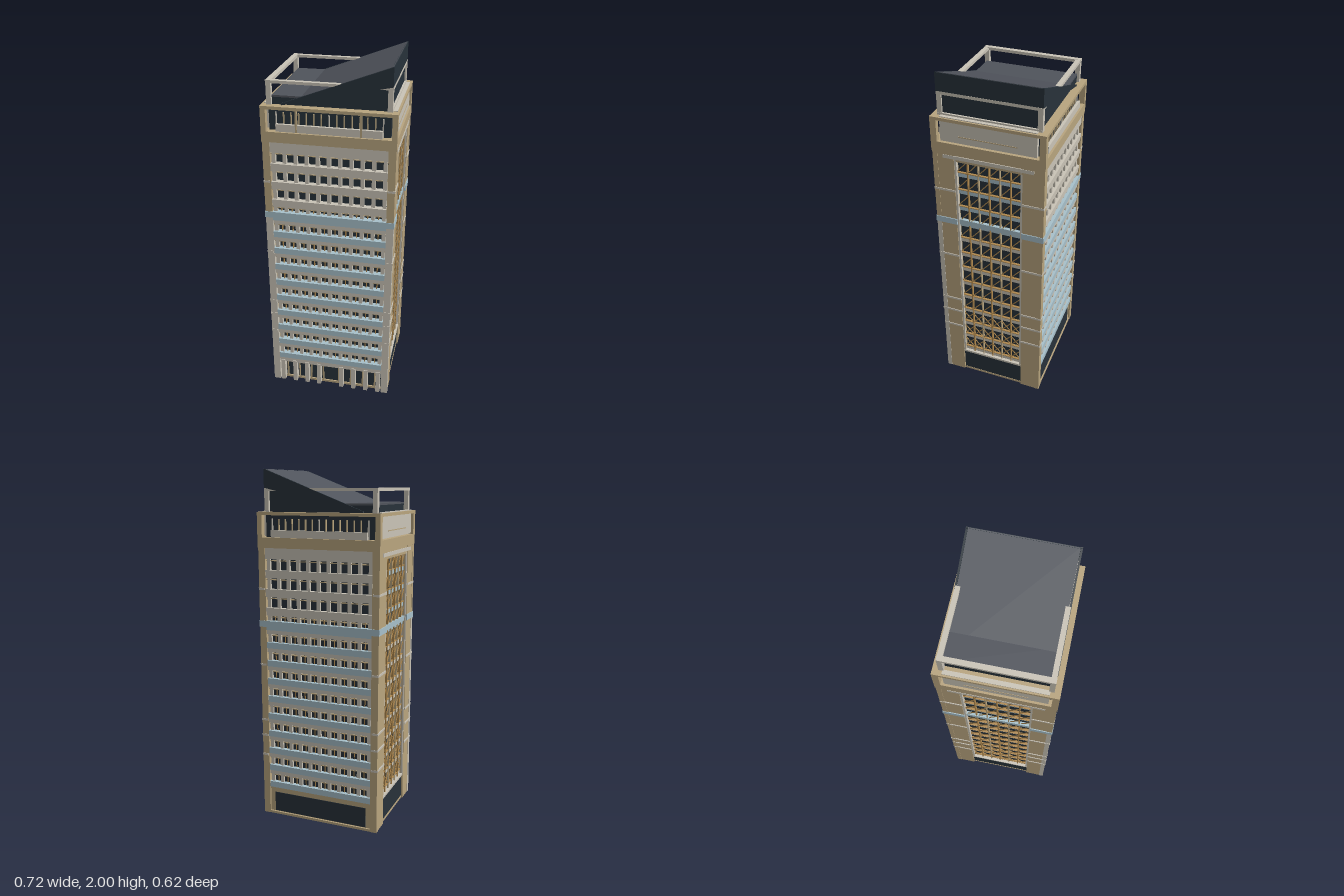
import * as THREE from 'three';

const mat = (name, color) => {
  const m = new THREE.MeshStandardMaterial({ color });
  m.name = name;
  return m;
};

export function createModel() {
  const tan = mat('tan stone', 0xb9a57f);
  const cream = mat('cream stone', 0xcac4b7);
  const dark = mat('dark glass', 0x28323a);
  const grey = mat('grey roof', 0x50545c);
  const blue = mat('pale blue panel', 0xa8c1cb);
  const gold = mat('bronze lattice', 0xb0894f);

  const model = new THREE.Group();
  model.name = 'tower';

  // Box given by its limits along each axis
  const box = (parent, name, m, x0, x1, y0, y1, z0, z1) => {
    const mesh = new THREE.Mesh(new THREE.BoxGeometry(x1 - x0, y1 - y0, z1 - z0), m);
    mesh.position.set((x0 + x1) / 2, (y0 + y1) / 2, (z0 + z1) / 2);
    mesh.name = name;
    parent.add(mesh);
    return mesh;
  };
  const group = (name, turn = 0) => {
    const g = new THREE.Group();
    g.name = name;
    g.rotation.y = turn;
    model.add(g);
    return g;
  };

  const floors = 13, pitch = 0.1055, firstY = 0.168;

  // Core and base
  box(model, 'glassCore', dark, -0.325, 0.325, 0.012, 1.6, -0.28, 0.272);
  box(model, 'basePlate', tan, -0.345, 0.345, 0, 0.014, -0.305, 0.28);

  // Corner piers: tan side walls with cream edges below the blue belt
  const corners = group('cornerPiers');
  for (const sx of [-1, 1]) for (const sz of [-1, 1]) {
    const pier = (name, m, xa, xb, y0, y1, za, zb) => box(corners, name, m,
      Math.min(sx * xa, sx * xb), Math.max(sx * xa, sx * xb), y0, y1,
      Math.min(sz * za, sz * zb), Math.max(sz * za, sz * zb));
    pier('sideWall', tan, 0.315, 0.353, 0, 1.58, 0.188, 0.282);
    pier('cornerLower', sz > 0 ? cream : tan, 0.315, 0.355, 0, 1.135, 0.28, 0.307);
    pier('cornerUpper', tan, 0.315, 0.355, 1.135, 1.58, 0.28, 0.307);
    for (const y of [0.37, 0.49, 0.585, 0.915, 1.35])
      pier('wallLine', cream, 0.32, 0.357, y - 0.006, y + 0.006, 0.188, 0.309);
    pier('beltReturn', blue, 0.315, 0.358, 1.135, 1.17, 0.186, 0.31);
  }

  // Front and back window walls
  for (const [name, turn] of [['frontFacade', 0], ['backFacade', Math.PI]]) {
    const f = group(name, turn);
    for (let i = 0; i < floors; i++) {
      const y = firstY + i * pitch;
      const upper = i > 9;
      const sill = y + (upper ? 0.022 : 0.035);
      const head = y + 0.083;
      box(f, 'sillPanel', upper ? cream : blue, -0.316, 0.316, y, sill, 0.265, 0.306);
      box(f, 'headBand', cream, -0.316, 0.316, head, y + pitch, 0.265, 0.303);
      for (let k = 0; k <= 10; k++) {
        const x = -0.3 + k * 0.06;
        box(f, 'windowPier', cream, x - 0.010, x + 0.010, sill, head, 0.265, 0.294);
        if (k < 10 && !upper)
          box(f, 'windowMullion', gold, x + 0.028, x + 0.032, sill, head, 0.265, 0.285);
      }
      box(f, 'windowRail', tan, -0.316, 0.316, head - 0.012, head - 0.007, 0.265, 0.291);
    }
    box(f, 'topBand', cream, -0.316, 0.316, 1.535, 1.58, 0.265, 0.304);
    box(f, 'belt', blue, -0.32, 0.32, 1.135, 1.17, 0.27, 0.31);
  }

  // Entrance colonnade
  const entrance = group('entrance');
  box(entrance, 'lintel', cream, -0.316, 0.316, 0.138, 0.168, 0.26, 0.303);
  box(entrance, 'doorHead', tan, -0.316, 0.316, 0.118, 0.126, 0.26, 0.28);
  for (const x of [0.07, 0.145, 0.22, 0.295]) for (const s of [-1, 1]) {
    box(entrance, 'column', cream, s * x - 0.012, s * x + 0.012, 0, 0.15, 0.262, 0.308);
    box(entrance, 'doorFrame', tan, s * (x - 0.022) - 0.004, s * (x - 0.022) + 0.004, 0.01, 0.13, 0.262, 0.28);
  }

  // Plain rear ground floor
  const rear = group('rearGroundFloor', Math.PI);
  box(rear, 'rearWall', tan, -0.316, 0.316, 0, 0.168, 0.265, 0.296);
  box(rear, 'rearGlass', dark, -0.285, 0.285, 0.018, 0.135, 0.294, 0.299);

  // Side window strips with diagonal lattice
  for (const [name, turn] of [['leftStrip', Math.PI / 2], ['rightStrip', -Math.PI / 2]]) {
    const s = group(name, turn);
    box(s, 'groundGlass', dark, -0.19, 0.19, 0.012, 0.155, 0.32, 0.343);
    box(s, 'stripSill', cream, -0.19, 0.19, 0.155, 0.168, 0.32, 0.352);
    for (const e of [-1, 1])
      box(s, 'stripJamb', cream, e * 0.183 - 0.006, e * 0.183 + 0.006, 0.16, 1.54, 0.32, 0.35);
    for (let i = 0; i < floors; i++) {
      const y = firstY + i * pitch;
      box(s, 'spandrel', i > 8 ? blue : cream, -0.18, 0.18, y, y + 0.026, 0.32, 0.334);
      box(s, 'spandrelRail', gold, -0.18, 0.18, y + 0.026, y + 0.030, 0.32, 0.339);
      // Diagonal bars, crossed on the lowest floors
      for (let k = 0; k < 6; k++) {
        const x = -0.15 + k * 0.06;
        for (const d of i < 3 ? [-1, 1] : [-1]) {
          const bar = box(s, 'diagonalBar', gold, x - 0.0025, x + 0.0025, y + 0.022, y + 0.112, 0.335, 0.339);
          bar.rotation.z = d * 0.72;
        }
      }
    }
    for (let k = 0; k <= 6; k++) {
      const x = -0.18 + k * 0.06;
      box(s, 'stripMullion', k % 2 ? gold : tan, x - 0.003, x + 0.003, 0.16, 1.54, 0.325, 0.342);
    }
    box(s, 'stripHead', tan, -0.19, 0.19, 1.53, 1.58, 0.32, 0.35);
    box(s, 'stripHeadBand', cream, -0.25, 0.25, 1.545, 1.565, 0.32, 0.355);
    box(s, 'sideBelt', blue, -0.19, 0.19, 1.135, 1.165, 0.32, 0.344);
  }

  // Crown storey
  const crown = group('crown');
  box(crown, 'crownSlab', tan, -0.357, 0.357, 1.578, 1.635, -0.31, 0.31);
  box(crown, 'crownGlass', dark, -0.32, 0.32, 1.63, 1.76, -0.272, 0.272);
  box(crown, 'crownRim', tan, -0.357, 0.357, 1.755, 1.772, -0.31, 0.31);
  for (const sx of [-1, 1]) {
    for (const sz of [-1, 1])
      box(crown, 'crownPost', tan, sx * 0.343 - 0.014, sx * 0.343 + 0.014, 1.63, 1.76, sz * 0.293 - 0.017, sz * 0.293 + 0.017);
    box(crown, 'crownSidePanel', cream, sx * 0.335 - 0.012, sx * 0.335 + 0.012, 1.64, 1.776, -0.26, 0.26);
    box(crown, 'crownSideLine', tan, sx * 0.346 - 0.003, sx * 0.346 + 0.003, 1.675, 1.68, -0.16, 0.16);
  }
  for (const s of [-1, 1]) {
    box(crown, 'crownParapet', cream, -0.28, 0.28, 1.635, 1.675, s * 0.29 - 0.008, s * 0.29 + 0.008);
    for (let k = 0; k <= 14; k++) {
      const x = -0.28 + k * 0.04;
      box(crown, 'crownMullion', k % 7 === 0 ? cream : tan, x - 0.003, x + 0.003, 1.635, 1.735, s * 0.274 - 0.006, s * 0.274 + 0.006);
    }
    box(crown, 'crownPostSlim', tan, s * 0.17 - 0.005, s * 0.17 + 0.005, 1.635, 1.76, 0.285, 0.3);
  }

  // Penthouse glass body under a ramp roof
  const penthouse = group('penthouse');
  const extrude = (name, m, pts, halfDepth) => {
    const shape = new THREE.Shape(pts.map(p => new THREE.Vector2(...p)));
    const geo = new THREE.ExtrudeGeometry(shape, { depth: halfDepth * 2, bevelEnabled: false });
    geo.translate(0, 0, -halfDepth);
    const mesh = new THREE.Mesh(geo, m);
    mesh.name = name;
    penthouse.add(mesh);
  };
  extrude('penthouseGlass', dark,
    [[-0.302, 1.77], [0.315, 1.77], [0.315, 1.985], [-0.137, 1.81], [-0.302, 1.81]], 0.265);
  extrude('flatRoof', grey, [[-0.302, 1.81], [-0.12, 1.81], [-0.12, 1.82], [-0.302, 1.82]], 0.266);
  extrude('rampRoof', grey, [[-0.25, 1.773], [0.322, 1.99], [0.322, 2.0], [-0.25, 1.78]], 0.27);
  for (const s of [-1, 1]) {
    const edge = new THREE.Shape([[-0.25, 1.772], [0.325, 1.9], [0.325, 2.0], [-0.25, 1.781]]
      .map(p => new THREE.Vector2(...p)));
    const fascia = new THREE.Mesh(new THREE.ExtrudeGeometry(edge, { depth: 0.01, bevelEnabled: false }), dark);
    fascia.position.z = s * 0.276 - 0.005;
    fascia.name = 'roofFascia';
    penthouse.add(fascia);
  }
  box(penthouse, 'endFascia', dark, 0.316, 0.325, 1.9, 1.998, -0.28, 0.28);

  // Open cream frame around the penthouse
  const frame = group('roofFrame');
  for (const s of [-1, 1]) {
    box(frame, 'longBeam', cream, -0.33, 0.325, 1.884, 1.899, s * 0.266 - 0.013, s * 0.266 + 0.013);
    for (const x of [-0.316, 0.312])
      box(frame, 'framePost', cream, x - 0.013, x + 0.013, 1.77, 1.89, s * 0.266 - 0.013, s * 0.266 + 0.013);
  }
  box(frame, 'endBeamRight', cream, -0.33, -0.302, 1.884, 1.9, -0.28, 0.28);
  box(frame, 'endBeamLeft', cream, 0.3, 0.326, 1.884, 1.9, -0.279, 0.279);
  box(frame, 'endSillLeft', cream, 0.3, 0.326, 1.77, 1.785, -0.279, 0.279);

  return model;
}
